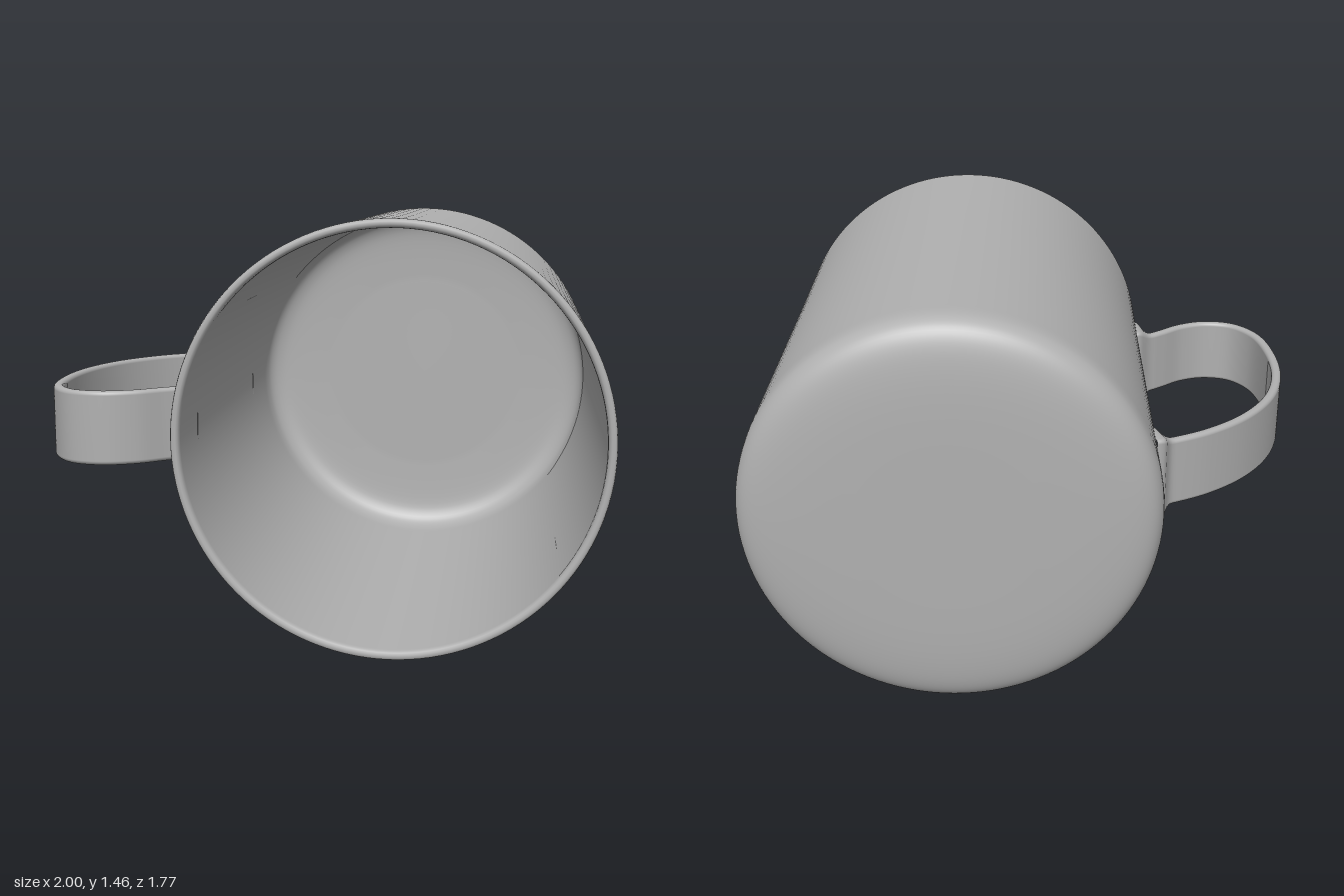
import * as THREE from 'three';

const CX = 0.27, CY = 0.733, R = 0.73;

// Mug profile from the base centre, up the outside, over the rim and down to the inner floor
function mugBody(material) {
  const v = (r, h) => new THREE.Vector2(r, h);
  const base = new THREE.SplineCurve([
    v(0.3, -0.885), v(0.45, -0.882), v(0.56, -0.875), v(0.64, -0.862),
    v(0.69, -0.84), v(0.717, -0.805), v(0.726, -0.76), v(0.727, -0.7),
  ]).getPoints(28);
  const rim = [v(0.727, 0.3), v(R, 0.86), v(R, 0.872), v(0.727, 0.881), v(0.721, 0.885),
    v(0.711, 0.885), v(0.704, 0.881), v(0.7, 0.872), v(0.699, 0.86)];
  const inside = new THREE.SplineCurve([
    v(0.699, -0.7), v(0.697, -0.75), v(0.685, -0.795), v(0.65, -0.825), v(0.58, -0.84), v(0.4, -0.85),
  ]).getPoints(20);
  const geo = new THREE.LatheGeometry([v(0, -0.885), ...base, ...rim, ...inside, v(0, -0.85)], 128);
  geo.rotateX(Math.PI / 2);
  const mesh = new THREE.Mesh(geo, material);
  mesh.name = 'mugBody';
  mesh.position.set(CX, CY, 0);
  return mesh;
}

// Rounded rectangle ring, as [side across the thickness, side along the height, corner cos, corner sin]
function ringPoints() {
  const ring = [];
  [[1, 1], [-1, 1], [-1, -1], [1, -1]].forEach(([sx, sy], q) => {
    for (let k = 0; k <= 5; k++) {
      const a = (q + k / 5) * Math.PI / 2;
      ring.push([sx, sy, Math.cos(a), Math.sin(a)]);
    }
  });
  return ring;
}

// Flat strap swept along a curve, flaring into the wall at both ends
function handle(material) {
  const path = new THREE.CatmullRomCurve3([
    [-0.42, -0.49], [-0.49, -0.464], [-0.64, -0.385], [-0.79, -0.255], [-0.905, -0.08],
    [-0.967, 0.13], [-0.977, 0.36], [-0.94, 0.565], [-0.86, 0.67], [-0.75, 0.697],
    [-0.64, 0.66], [-0.55, 0.59], [-0.49, 0.55], [-0.42, 0.54],
  ].map(([x, z]) => new THREE.Vector3(x, 0, z)), false, 'centripetal');
  const ring = ringPoints(), N = 140, M = ring.length;
  const pos = [], index = [];
  for (let i = 0; i <= N; i++) {
    const p = path.getPointAt(i / N), t = path.getTangentAt(i / N);
    const flare = THREE.MathUtils.clamp(1 - (-p.x - 0.455) / 0.05, 0, 1) ** 2;
    const halfT = 0.0185 + 0.05 * flare, halfH = 0.13 + 0.035 * flare, r = 0.015;
    for (const [sx, sy, c, s] of ring) {
      const a = sx * (halfT - r) + c * r, y = sy * (halfH - r) + s * r;
      // Keep the strap ends buried inside the wall thickness
      const wall = CX - Math.sqrt(0.713 ** 2 - y * y);
      pos.push(Math.min(p.x + t.z * a, wall), CY + y, p.z - t.x * a);
    }
  }
  for (let i = 0; i < N; i++) {
    for (let j = 0; j < M; j++) {
      const a = i * M + j, b = i * M + (j + 1) % M;
      index.push(a, b, b + M, a, b + M, a + M);
    }
  }
  const geo = new THREE.BufferGeometry();
  geo.setAttribute('position', new THREE.Float32BufferAttribute(pos, 3));
  geo.setIndex(index);
  geo.computeVertexNormals();
  const mesh = new THREE.Mesh(geo, material);
  mesh.name = 'handle';
  return mesh;
}

export function createModel() {
  const group = new THREE.Group();
  group.name = 'mug';
  const grey = new THREE.MeshStandardMaterial({ color: 0xb0b0b0 });
  grey.name = 'grey ceramic';
  group.add(mugBody(grey), handle(grey));
  return group;
}
